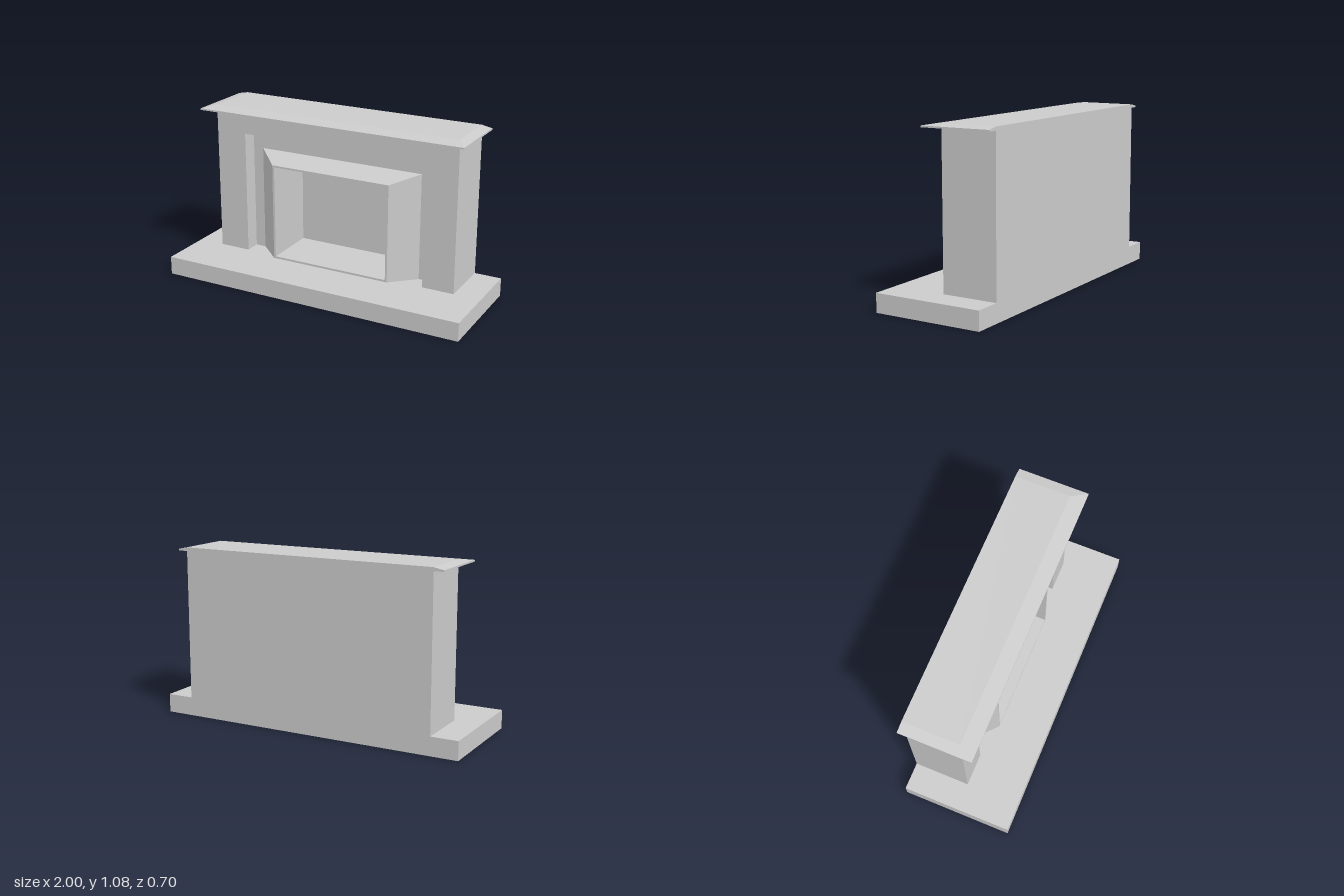
import * as THREE from 'three';

const BASE = 0.117; // top of the hearth
const BACK = -0.348;

// upright rectangle, anticlockwise seen from the front
const upright = (w, y0, y1, z) => [[-w, y0, z], [w, y0, z], [w, y1, z], [-w, y1, z]];
// level rectangle, anticlockwise seen from above
const level = (w, z0, z1, y) => [[-w, y, z1], [w, y, z1], [w, y, z0], [-w, y, z0]];

// flat-sided skin through four-cornered rings, with optional end caps
function loft(name, rings, { capStart = false, capEnd = false, openFloor = false } = {}) {
  const pos = [];
  const quad = (a, b, c, d) => pos.push(...a, ...b, ...c, ...a, ...c, ...d);
  for (let r = 0; r < rings.length - 1; r++) {
    const a = rings[r], b = rings[r + 1];
    for (let i = 0; i < 4; i++) {
      // the side resting on the hearth needs no face
      if (openFloor && i === 0 && a[0][1] === BASE && b[0][1] === BASE) continue;
      const j = (i + 1) % 4;
      quad(a[i], a[j], b[j], b[i]);
    }
  }
  if (capStart) quad(...[...rings[0]].reverse());
  if (capEnd) quad(...rings[rings.length - 1]);
  const geo = new THREE.BufferGeometry();
  geo.setAttribute('position', new THREE.Float32BufferAttribute(pos, 3));
  geo.computeVertexNormals();
  const mesh = new THREE.Mesh(geo, new THREE.MeshStandardMaterial({ color: 0xcccccc, flatShading: true }));
  mesh.name = name;
  return mesh;
}

export function createModel() {
  const group = new THREE.Group();
  group.name = 'fireplace';

  // hearth slab
  group.add(loft('hearth', [level(1, BACK, 0.348, 0), level(1, BACK, 0.348, BASE)],
    { capStart: true, capEnd: true }));

  // rings shared by neighbouring parts
  const insertOuter = upright(0.555, BASE, 0.8, -0.097);
  const openingFront = upright(0.39, 0.13, 0.735, 0.043);

  // chimney breast with a stepped recess in its front
  group.add(loft('surround', [
    upright(0.828, BASE, 1.056, BACK),
    upright(0.828, BASE, 1.056, 0.005),
    upright(0.623, BASE, 0.912, 0.005),
    upright(0.623, BASE, 0.912, -0.097),
    insertOuter,
  ], { capStart: true, openFloor: true }));

  // splayed frame standing out of the recess
  group.add(loft('insertFrame', [
    insertOuter,
    upright(0.403, BASE, 0.747, 0.043),
    openingFront,
  ], { openFloor: true }));

  // hollow firebox
  group.add(loft('firebox', [openingFront, upright(0.39, 0.13, 0.735, -0.315)], { capEnd: true }));

  // mantel shelf, bevelled on the front and both ends
  group.add(loft('mantel', [
    level(0.89, BACK, 0.1, 1.056),
    level(0.89, BACK, 0.1, 1.066),
    level(0.825, BACK, 0.005, 1.079),
  ], { capStart: true, capEnd: true }));

  return group;
}
